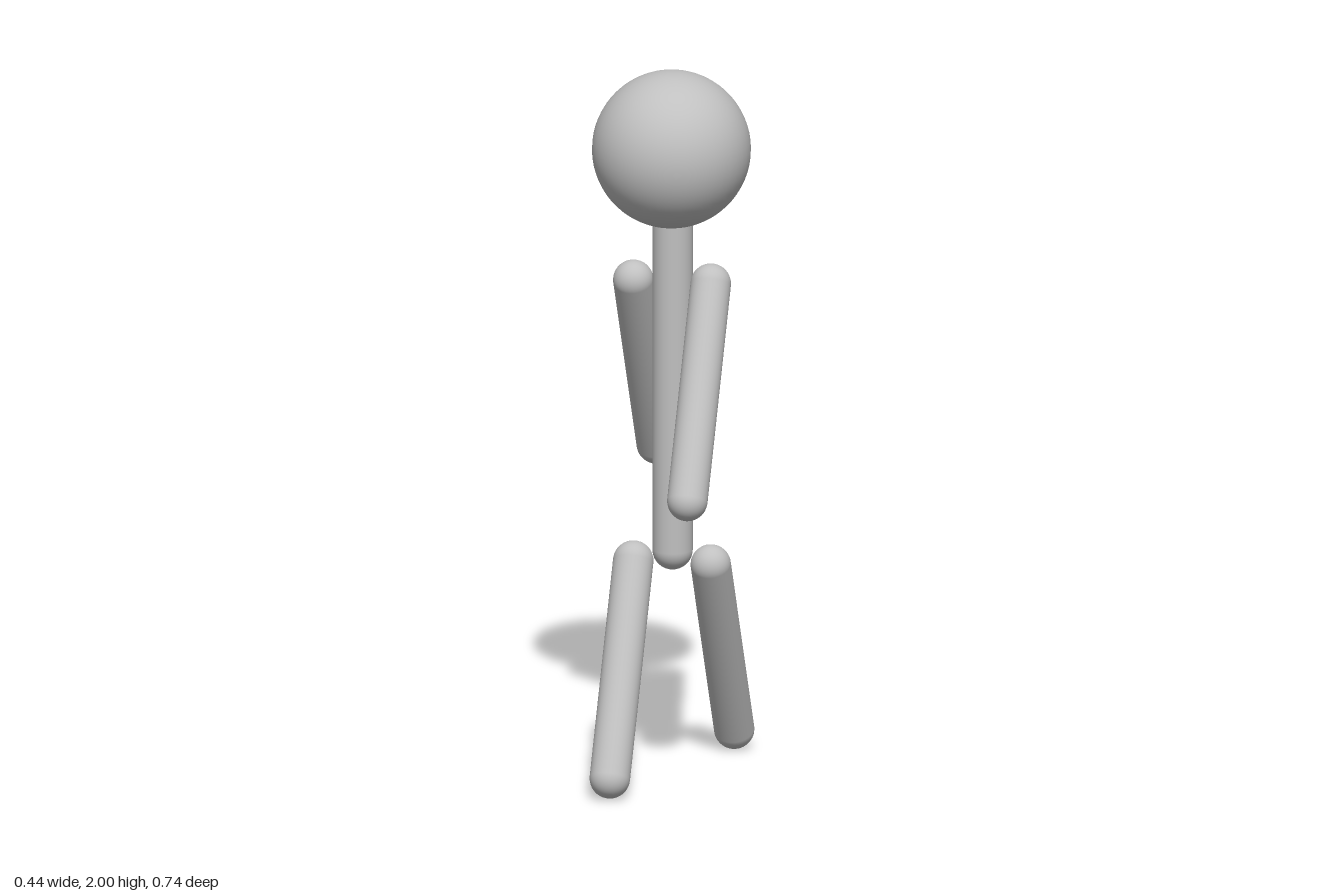
import * as THREE from 'three';

const RADIUS = 0.056;

export function createModel() {
  const group = new THREE.Group();
  const grey = new THREE.MeshStandardMaterial({ color: 0xc0c0c0 });
  grey.name = 'light grey';

  // Rounded rod between the centres of its two end caps
  function rod(name, from, to) {
    const a = new THREE.Vector3(...from);
    const b = new THREE.Vector3(...to);
    const mesh = new THREE.Mesh(new THREE.CapsuleGeometry(RADIUS, a.distanceTo(b), 12, 32), grey);
    mesh.name = name;
    mesh.position.copy(a).add(b).multiplyScalar(0.5);
    mesh.quaternion.setFromUnitVectors(new THREE.Vector3(0, 1, 0), a.clone().sub(b).normalize());
    group.add(mesh);
  }

  // Head
  const head = new THREE.Mesh(new THREE.SphereGeometry(0.22, 48, 32), grey);
  head.name = 'head';
  head.position.y = 1.78;
  group.add(head);

  // Torso, running up into the head
  rod('torso', [0.003, 1.6, 0], [0.003, 0.64, 0]);

  // Walking limbs: each arm swings opposite to the leg on its side
  for (const [side, x, swing] of [['left', 0.111, 1], ['right', -0.108, -1]]) {
    rod(side + 'Arm', [x, 1.402, 0], [x, 0.859, 0.314 * swing]);
    rod(side + 'Leg', [x, 0.602, 0], [x, 0.058, -0.314 * swing]);
  }
  return group;
}
